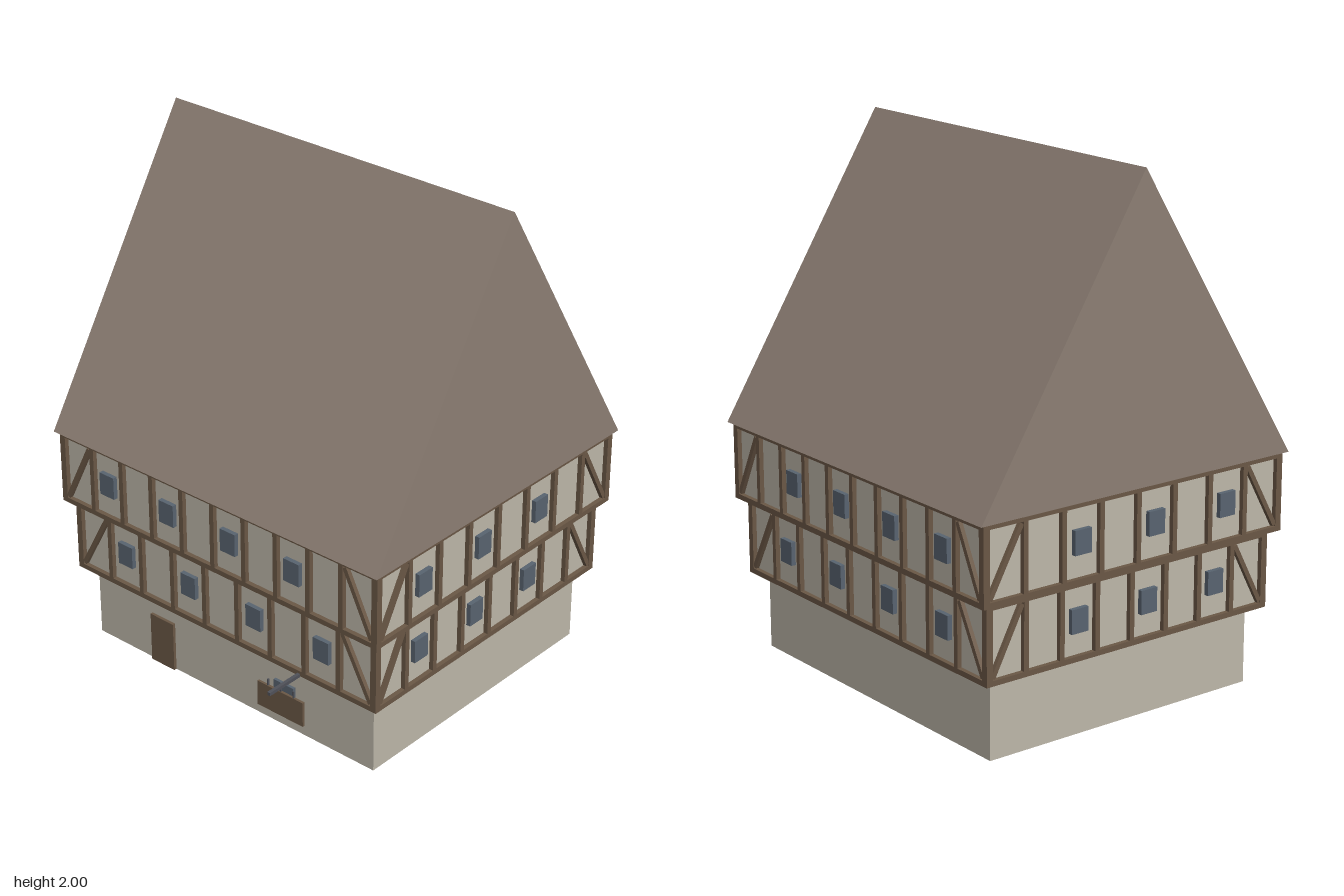
import * as THREE from 'three';

const material = (name, color) => {
  const m = new THREE.MeshStandardMaterial({ color });
  m.name = name;
  return m;
};

export function createModel() {
  const plaster = material('plaster', 0xbdb7a9);
  const timber = material('timber', 0x6b5846);
  const roofTile = material('roofTile', 0x8d7f74);
  const glass = material('glass', 0x596470);
  const iron = material('iron', 0x50525a);

  const house = new THREE.Group();
  house.name = 'timberFramedHouse';
  const MID = -0.062; // z of the ridge and the house centre line

  const box = (parent, name, mat, w, h, d, x, y, z) => {
    const mesh = new THREE.Mesh(new THREE.BoxGeometry(w, h, d), mat);
    mesh.name = name;
    mesh.position.set(x, y, z);
    parent.add(mesh);
    return mesh;
  };

  // One framed face, with its outer plane at local z = 0
  function framedFace(name, half, y0, y1, bays, windowBays, mirrored) {
    const face = new THREE.Group();
    face.name = name;
    const depth = 0.025, rail = 0.02, corner = 0.026, post = 0.02;
    const h = y1 - y0, yMid = (y0 + y1) / 2;
    const span = half - corner / 2;
    const step = (2 * span) / bays;

    // Rails and posts
    for (const y of [y0 + rail / 2, y1 - rail / 2])
      box(face, 'rail', timber, 2 * half, rail, depth, 0, y, -depth / 2);
    for (let i = 0; i <= bays; i++) {
      const end = i === 0 || i === bays;
      box(face, end ? 'cornerPost' : 'post', timber, end ? corner : post,
        h - 2 * rail, depth, -span + i * step, yMid, -depth / 2);
    }

    // Diagonal braces in the end bays, leaning inwards
    const bw = step - 0.03, bh = h - 2 * rail - 0.012;
    for (const s of [-1, 1]) {
      const brace = box(face, 'brace', timber, 0.018, Math.hypot(bw, bh), 0.02,
        s * (span - step / 2), yMid, -0.012);
      brace.rotation.z = s * Math.atan2(bw, bh);
    }

    // Windows in alternate bays
    for (const b of windowBays) {
      const x = (-span + (b + 0.5) * step) * (mirrored ? -1 : 1);
      box(face, 'window', glass, 0.072, 0.09, 0.02, x, yMid + 0.003, -0.01);
    }
    return face;
  }

  // Storey with a plaster core and four framed faces
  function storey(name, hx, hz, y0, y1, longBays) {
    const group = new THREE.Group();
    group.name = name;
    const inset = 0.018;
    box(group, 'plasterWalls', plaster, 2 * (hx - inset), y1 - y0 - 0.004, 2 * (hz - inset),
      0, (y0 + y1) / 2, 0);
    const longWindows = [1, 3, 5, 7], shortWindows = [1, 3, 5];
    for (let k = 0; k < 4; k++) {
      const long = k % 2 === 0;
      const face = framedFace(['front', 'left', 'back', 'right'][k] + 'Frame',
        long ? hx : hz, y0, y1, long ? longBays : 8, long ? longWindows : shortWindows, k > 1);
      const angle = k * Math.PI / 2;
      face.rotation.y = angle;
      face.position.set(Math.sin(angle) * hx, 0, Math.cos(angle) * hz);
      group.add(face);
    }
    group.position.z = MID;
    house.add(group);
  }

  // Ground floor
  box(house, 'groundFloor', plaster, 1.374, 0.3, 1.172, 0, 0.15, MID);
  box(house, 'door', timber, 0.117, 0.203, 0.02, -0.345, 0.1015, 0.526);
  box(house, 'groundWindow', glass, 0.096, 0.09, 0.02, 0.269, 0.143, 0.526);

  // Jettied upper storeys
  storey('middleStorey', 0.739, 0.639, 0.296, 0.588, 9);
  storey('upperStorey', 0.77, 0.674, 0.591, 0.887, 10);

  // Steep gabled roof
  const gable = new THREE.Shape();
  gable.moveTo(-0.692, 0.887);
  gable.lineTo(0.692, 0.887);
  gable.lineTo(0, 2);
  gable.closePath();
  const roofGeometry = new THREE.ExtrudeGeometry(gable, { depth: 1.564, bevelEnabled: false });
  roofGeometry.translate(0, 0, -0.782);
  roofGeometry.rotateY(Math.PI / 2);
  const roof = new THREE.Mesh(roofGeometry, roofTile);
  roof.name = 'roof';
  roof.position.z = MID;
  house.add(roof);

  // Hanging sign board with its bracket
  const sign = new THREE.Group();
  sign.name = 'hangingSign';
  box(sign, 'bracket', iron, 0.013, 0.013, 0.158, 0, 0.327, 0.686);
  box(sign, 'board', timber, 0.215, 0.1, 0.01, 0, 0.256, 0.702);
  for (const x of [-0.06, 0, 0.06])
    box(sign, 'hanger', iron, 0.006, 0.028, 0.006, x, 0.318, 0.702);
  sign.position.x = 0.408;
  house.add(sign);

  return house;
}
